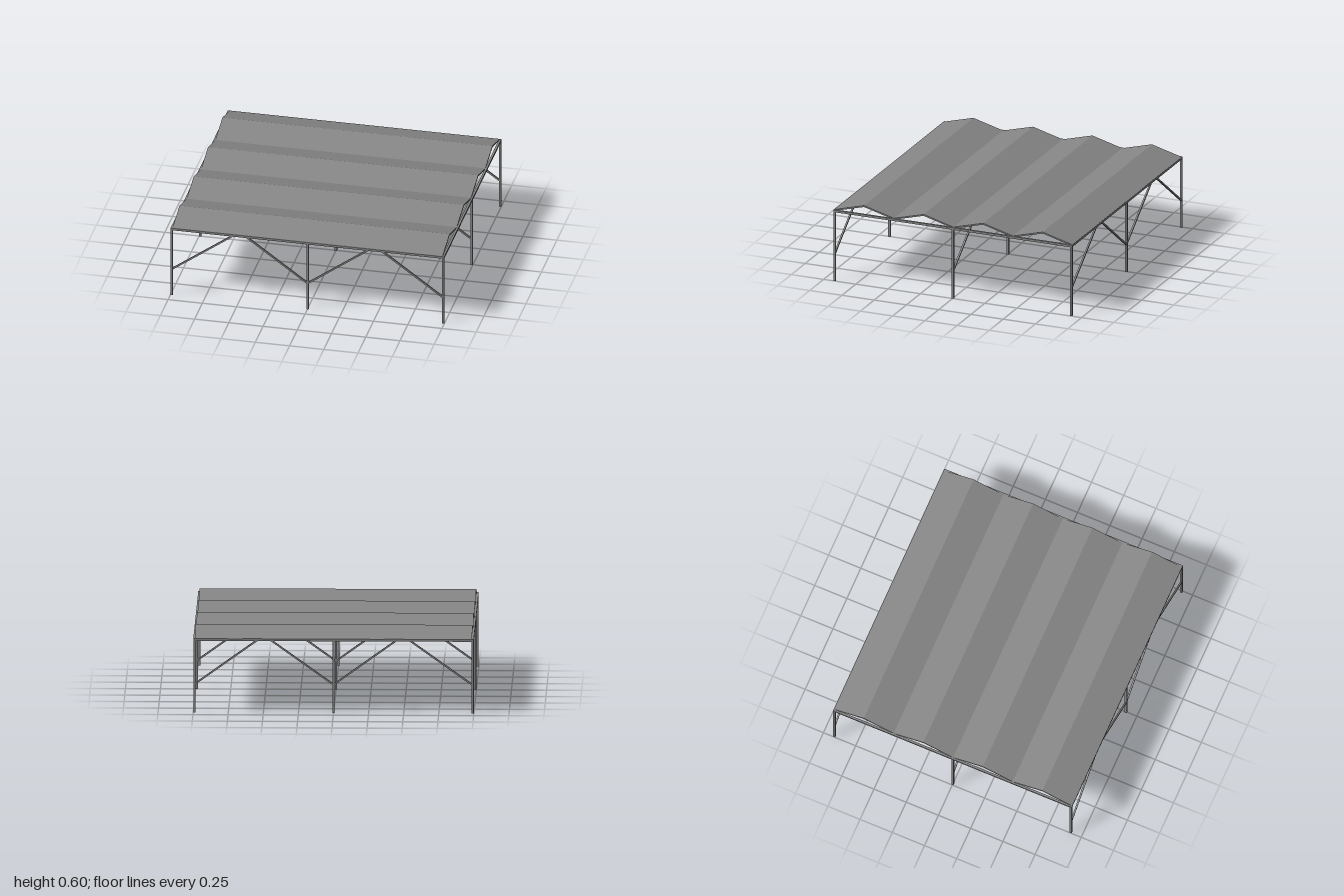
import * as THREE from 'three';

export function createModel() {
  const group = new THREE.Group();
  const material = new THREE.MeshStandardMaterial({ color: 0x868686, flatShading: true });
  const X = 0.991, Z = 0.917, BEAM_Y = 0.529;
  const T = 0.016;

  // square bar between two points
  function bar(name, a, b, w = T) {
    const from = new THREE.Vector3(...a), to = new THREE.Vector3(...b);
    const dir = to.clone().sub(from);
    const mesh = new THREE.Mesh(new THREE.BoxGeometry(w, dir.length(), w), material);
    mesh.position.copy(from).add(to).multiplyScalar(0.5);
    mesh.quaternion.setFromUnitVectors(new THREE.Vector3(0, 1, 0), dir.normalize());
    mesh.name = name;
    group.add(mesh);
  }

  for (const z of [-Z, 0, Z]) {
    // posts
    for (const x of [-X, 0, X]) bar('post', [x, 0, z], [x, BEAM_Y, z]);
    // long beam over each row of posts
    bar('longBeam', [-X - T / 2, BEAM_Y, z], [X + T / 2, BEAM_Y, z]);
    // diagonal braces from the posts up to the beam
    for (const s of [-1, 1]) {
      bar('brace', [s * X, 0.206, z], [s * 0.54, BEAM_Y, z], 0.012);
      bar('brace', [0, 0.206, z], [s * 0.45, BEAM_Y, z], 0.012);
    }
  }

  // cross beams
  for (const x of [-X, 0, X]) bar('crossBeam', [x, BEAM_Y, -Z], [x, BEAM_Y, Z]);

  // folded roof sheet: four ridges, extruded across the width
  const folds = 8, half = 0.923, thickness = 0.011;
  const top = [];
  for (let i = 0; i <= folds; i++) {
    top.push(new THREE.Vector2(-half + (2 * half * i) / folds, i % 2 ? 0.6 : 0.5375));
  }
  const bottom = top.map(p => new THREE.Vector2(p.x, p.y - thickness)).reverse();
  const roofGeometry = new THREE.ExtrudeGeometry(new THREE.Shape([...top, ...bottom]), {
    depth: 1.972, bevelEnabled: false,
  });
  roofGeometry.translate(0, 0, -0.986);
  roofGeometry.rotateY(-Math.PI / 2);
  const roof = new THREE.Mesh(roofGeometry, material);
  roof.name = 'foldedRoof';
  group.add(roof);

  return group;
}
